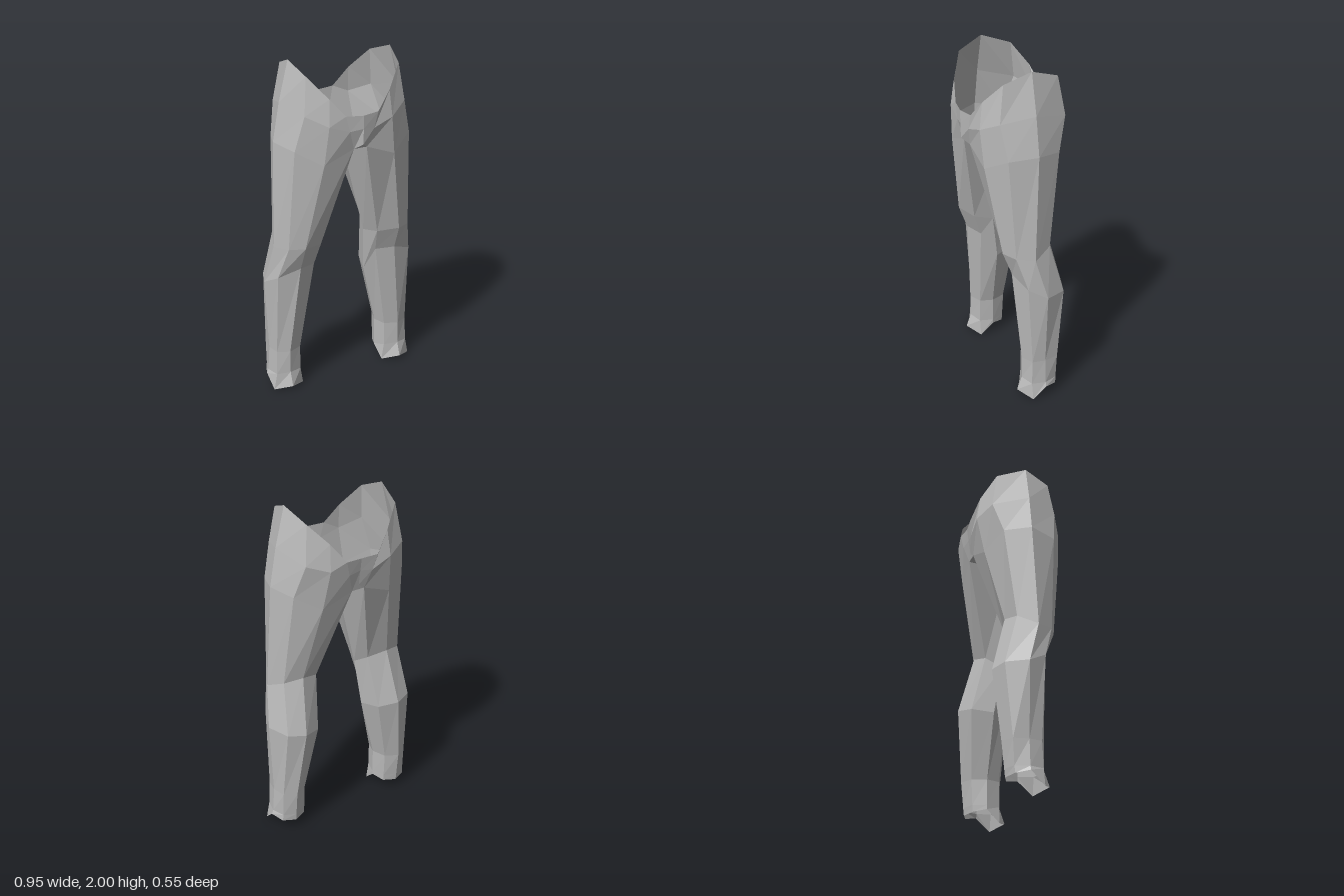
import * as THREE from 'three';

// Stitch neighbouring rows of points (listed upward) into flat facets
function loft(rows, closed) {
  const pos = [];
  for (let j = 0; j < rows.length - 1; j++) {
    const lo = rows[j], hi = rows[j + 1], n = lo.length;
    for (let i = 0; i < (closed ? n : n - 1); i++) {
      const k = (i + 1) % n;
      pos.push(...lo[i], ...lo[k], ...hi[k], ...lo[i], ...hi[k], ...hi[i]);
    }
  }
  const geo = new THREE.BufferGeometry();
  geo.setAttribute('position', new THREE.Float32BufferAttribute(pos, 3));
  geo.computeVertexNormals();
  return geo;
}

const flip = ([x, y, z]) => [-x, y, z];
const mirror = rows => rows.map(row => row.map(flip).reverse());

// Every leg ring runs: front inner, front, front outer, outer,
// back outer, back, back inner, inner
const thigh = [
  [0.04, 1.52, 0.235], [0.22, 1.45, 0.232], [0.36, 1.53, 0.155], [0.415, 1.55, 0],
  [0.36, 1.53, -0.15], [0.22, 1.45, -0.222], [0.04, 1.52, -0.235], [0.008, 1.49, 0],
];
const cuff = [
  [0.275, 0.0, 0.04], [0.37, 0.028, 0.1], [0.465, 0.0, 0.04], [0.475, 0.075, -0.04],
  [0.445, 0.06, -0.115], [0.37, 0.055, -0.145], [0.295, 0.06, -0.115], [0.265, 0.075, -0.04],
];
const hem = [
  [0.29, 0.1, 0.04], [0.37, 0.11, 0.07], [0.445, 0.1, 0.04], [0.465, 0.1, -0.04],
  [0.44, 0.1, -0.118], [0.37, 0.1, -0.15], [0.295, 0.1, -0.118], [0.265, 0.1, -0.04],
];
const ankle = [
  [0.29, 0.25, 0.038], [0.37, 0.25, 0.07], [0.44, 0.25, 0.035], [0.455, 0.25, -0.04],
  [0.44, 0.25, -0.125], [0.37, 0.25, -0.165], [0.295, 0.25, -0.125], [0.265, 0.25, -0.04],
];
const calf = [
  [0.205, 0.79, 0.065], [0.31, 0.8, 0.107], [0.435, 0.75, 0.065], [0.475, 0.69, -0.04],
  [0.425, 0.68, -0.165], [0.325, 0.67, -0.205], [0.215, 0.65, -0.155], [0.177, 0.63, -0.03],
];
const knee = [
  [0.185, 0.93, 0.115], [0.305, 0.945, 0.163], [0.39, 0.94, 0.12], [0.44, 0.93, 0.025],
  [0.395, 0.98, -0.085], [0.29, 1.0, -0.122], [0.18, 0.97, -0.085], [0.15, 0.91, 0.01],
];
const legRows = [cuff, hem, ankle, calf, knee, thigh];

// Hip rows run from the front centre around one side to the back centre
const hipRows = [
  [[0, 1.55, 0.27], ...thigh.slice(0, 7), [0, 1.55, -0.24]],
  [
    [0, 1.64, 0.272], [0.075, 1.63, 0.257], [0.195, 1.67, 0.245], [0.31, 1.73, 0.18], [0.375, 1.77, 0],
    [0.315, 1.72, -0.205], [0.195, 1.68, -0.262], [0.075, 1.63, -0.262], [0, 1.64, -0.255],
  ],
  [
    [0, 1.715, 0.272], [0.1, 1.72, 0.255], [0.185, 1.82, 0.225], [0.285, 1.94, 0.15], [0.317, 2, 0],
    [0.285, 1.94, -0.17], [0.185, 1.83, -0.24], [0.1, 1.72, -0.275], [0, 1.715, -0.265],
  ],
];

export function createModel() {
  const group = new THREE.Group();
  group.name = 'trousers';
  const cloth = new THREE.MeshStandardMaterial({
    color: 0xb8b8b8, side: THREE.DoubleSide, flatShading: true,
  });
  cloth.name = 'grey cloth';
  const add = (name, geo) => {
    const mesh = new THREE.Mesh(geo, cloth);
    mesh.name = name;
    group.add(mesh);
  };

  // Legs and hip halves
  add('leftLeg', loft(legRows, true));
  add('rightLeg', loft(mirror(legRows), true));
  add('leftHip', loft(hipRows, false));
  add('rightHip', loft(mirror(hipRows), false));

  // Narrow strip under the crotch joining both legs
  const [front, back, inner] = [thigh[0], thigh[6], thigh[7]];
  const seam = [hipRows[0][0], front, inner, back, hipRows[0][8]];
  add('crotchStrip', loft([seam.map(flip), seam], false));
  return group;
}
